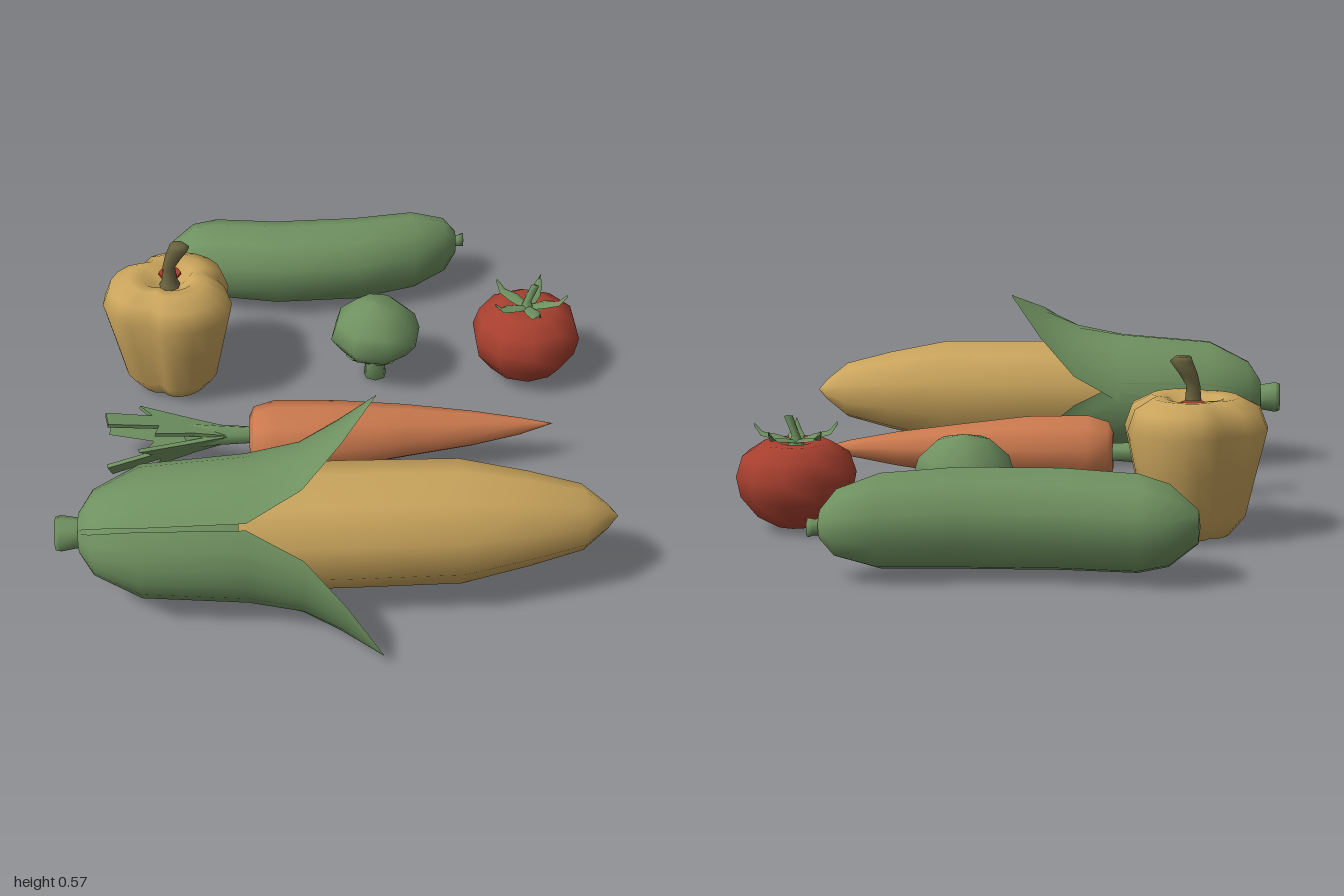
import * as THREE from 'three';

const mat = (name, color, side = THREE.FrontSide) => {
  const m = new THREE.MeshStandardMaterial({ color, side });
  m.name = name;
  return m;
};
const D = Math.PI / 180;

// Smooth surface through rows of points; closed rows wrap around
function loft(rows, closed = true) {
  const n = rows[0].length, pos = rows.flat(2), index = [];
  for (let i = 0; i < rows.length - 1; i++) {
    for (let j = 0; j < (closed ? n : n - 1); j++) {
      const k = (j + 1) % n, a = i * n, b = a + n;
      index.push(a + j, a + k, b + j, a + k, b + k, b + j);
    }
  }
  const g = new THREE.BufferGeometry();
  g.setAttribute('position', new THREE.Float32BufferAttribute(pos, 3));
  g.setIndex(index);
  g.computeVertexNormals();
  return g;
}
const around = (n, f) => Array.from({ length: n }, (_, j) => f((j / n) * Math.PI * 2));

// Round body along x, stations [x, y, z, radius]
const alongX = (stations, n = 10) => loft(stations.map(([x, y, z, r]) =>
  around(n, a => [x, y + r * Math.cos(a), z + r * Math.sin(a)])));

// Round body along y, stations [y, radius, xShift], with optional radius factor by angle
const alongY = (stations, n = 9, factor = () => 1, start = 0) => loft(stations.map(([y, r, dx = 0]) =>
  around(n, t => {
    const a = t + start, q = r * factor(a);
    return [dx + q * Math.sin(a), y, q * Math.cos(a)];
  })));

export function createModel() {
  const model = new THREE.Group();
  const green = mat('leaf green', 0x6f9160);
  const leafGreen = green.clone();
  leafGreen.side = THREE.DoubleSide;
  const yellow = mat('corn yellow', 0xc9a45c);
  const orange = mat('carrot orange', 0xcc7a4e);
  const red = mat('tomato red', 0xa8402f);
  const olive = mat('stem olive', 0x6b643f);

  const group = (name, x = 0, y = 0, z = 0) => {
    const g = new THREE.Group();
    g.name = name;
    g.position.set(x, y, z);
    model.add(g);
    return g;
  };
  const add = (parent, name, geometry, material) => {
    const m = new THREE.Mesh(geometry, material);
    m.name = name;
    parent.add(m);
    return m;
  };

  // Zucchini: curved body and stub
  const zucchini = group('zucchini');
  add(zucchini, 'zucchiniBody', alongX([
    [-0.53, 0.15, -0.87, 0], [-0.525, 0.15, -0.87, 0.045], [-0.45, 0.15, -0.86, 0.11],
    [-0.37, 0.15, -0.845, 0.132], [-0.17, 0.15, -0.812, 0.137], [0.1, 0.15, -0.822, 0.137],
    [0.3, 0.15, -0.87, 0.128], [0.41, 0.15, -0.9, 0.09], [0.45, 0.15, -0.915, 0.04], [0.452, 0.15, -0.915, 0],
  ]), green);
  add(zucchini, 'zucchiniStub', alongX([
    [0.43, 0.145, -0.925, 0.022], [0.465, 0.145, -0.93, 0.022], [0.48, 0.145, -0.935, 0.026], [0.48, 0.145, -0.935, 0],
  ], 6), green);

  // Pepper: three lobes with a sunken top
  const pepper = group('pepper', -0.51, 0, -0.35);
  const lobes = a => 0.78 + 0.22 * Math.sqrt(Math.abs(Math.sin(1.5 * (a - 96 * D))));
  add(pepper, 'pepperBody', alongY([
    [0.04, 0], [0.01, 0.07], [0.005, 0.11], [0.06, 0.155], [0.2, 0.187], [0.31, 0.213],
    [0.37, 0.19], [0.4, 0.13], [0.395, 0.085], [0.365, 0.05], [0.36, 0],
  ], 24, lobes, 96 * D), yellow);
  add(pepper, 'pepperStem', alongY([
    [0.35, 0.04], [0.385, 0.024], [0.43, 0.02], [0.465, 0.027, 0.015], [0.5, 0.033, 0.035], [0.512, 0.024, 0.03], [0.512, 0, 0.03],
  ], 7), olive);
  const patch = add(pepper, 'pepperBlush', new THREE.CylinderGeometry(0.035, 0.035, 0.008, 8), red);
  patch.position.set(0, 0.385, -0.035);

  // Broccoli: domed head, stalk and branches
  const broccoli = group('broccoli', 0.14, 0, -0.35);
  add(broccoli, 'broccoliHead', alongY([
    [0.135, 0], [0.11, 0.07], [0.115, 0.115], [0.16, 0.147], [0.215, 0.13], [0.265, 0.075], [0.28, 0],
  ], 8, () => 1, 0.2), green);
  add(broccoli, 'broccoliStalk', alongY([[0, 0], [0, 0.037], [0.05, 0.031], [0.09, 0.04], [0.13, 0.06]], 7), green);
  for (let i = 0; i < 5; i++) {
    const pivot = new THREE.Group();
    pivot.rotation.y = i * 72 * D;
    broccoli.add(pivot);
    const branch = add(pivot, 'broccoliBranch', new THREE.CylinderGeometry(0.035, 0.018, 0.09, 6), green);
    branch.position.set(0.055, 0.1, 0);
    branch.rotation.z = -0.8;
  }

  // Tomato: squat body, five curled sepals and a short stem
  const tomato = group('tomato', 0.625, 0, -0.35);
  add(tomato, 'tomatoBody', alongY([
    [0.015, 0], [0.01, 0.07], [0.035, 0.115], [0.095, 0.162], [0.155, 0.174], [0.215, 0.155],
    [0.25, 0.1], [0.25, 0.05], [0.235, 0],
  ], 10), red);
  const sepal = loft([[0.005, 0.252, 0.016], [0.055, 0.266, 0.024], [0.1, 0.272, 0.015], [0.125, 0.297, 0.002]]
    .map(([x, y, w]) => [[x, y - 0.006, -w], [x, y + 0.004, 0], [x, y - 0.006, w]]), false);
  for (let i = 0; i < 5; i++) {
    add(tomato, 'tomatoSepal', sepal, leafGreen).rotation.y = (-8 + i * 72) * D;
  }
  add(tomato, 'tomatoStem', alongY([[0.24, 0.025], [0.27, 0.012], [0.325, 0.013, 0.02], [0.328, 0, 0.02]], 6), green);

  // Carrot: tapered root, stalk and three forked fronds
  const carrot = group('carrot');
  add(carrot, 'carrotRoot', alongX([
    [-0.255, 0.135, 0.14, 0], [-0.27, 0.135, 0.145, 0.06], [-0.255, 0.135, 0.148, 0.092], [-0.19, 0.135, 0.15, 0.111],
    [0, 0.135, 0.15, 0.105], [0.2, 0.135, 0.138, 0.081], [0.4, 0.135, 0.135, 0.054],
    [0.55, 0.135, 0.13, 0.026], [0.65, 0.135, 0.12, 0],
  ], 9), orange);
  add(carrot, 'carrotStalk', alongX([
    [-0.47, 0.135, 0.13, 0], [-0.45, 0.135, 0.13, 0.042], [-0.36, 0.135, 0.132, 0.033], [-0.25, 0.135, 0.137, 0.026],
  ], 6), green);
  const frond = new THREE.Shape([
    [0, -0.015], [0, 0.015], [-0.17, 0.035], [-0.29, 0.065], [-0.28, 0.025], [-0.43, 0.055],
    [-0.44, 0.0], [-0.3, -0.02], [-0.34, -0.06], [-0.17, -0.035],
  ].map(p => new THREE.Vector2(...p)));
  const frondGeometry = new THREE.ExtrudeGeometry(frond, { depth: 0.012, bevelEnabled: false });
  frondGeometry.rotateX(Math.PI / 2);
  frondGeometry.rotateZ(-0.22);
  for (let i = 0; i < 3; i++) {
    const m = add(carrot, 'carrotFrond', frondGeometry, green);
    m.position.set(-0.265, 0.135, 0.135);
    m.rotation.x = i * 120 * D;
  }

  // Corn: cob, stub and closed husk base
  const cy = 0.22, cz = 0.67;
  const corn = group('corn');
  add(corn, 'cornCob', alongX([
    [-0.6, 0.15], [-0.3, 0.175], [0, 0.176], [0.31, 0.173], [0.5, 0.132], [0.65, 0.092], [0.72, 0.035], [0.75, 0],
  ].map(([x, r]) => [x, cy + (x > 0.4 ? 0.005 : 0.003), cz, r]), 10), yellow);
  add(corn, 'cornStub', alongX([
    [-0.805, cy, cz, 0], [-0.805, cy, cz, 0.046], [-0.79, cy, cz, 0.05], [-0.73, cy, cz, 0.04],
  ], 8), green);
  add(corn, 'huskBase', alongX([
    [-0.74, cy, cz, 0], [-0.74, cy, cz, 0.055], [-0.7, cy, cz, 0.115], [-0.57, cy, cz, 0.178], [-0.3, cy, cz, 0.18],
  ], 12), green);

  // Three husk leaves [centre angle, tip radius], rows [x, radius, half width in degrees]
  for (const [centre, tip] of [[110, 0.37], [-29, 0.376], [226, 0.25]]) {
    const flare = (tip - 0.2) / 0.175;
    const rows = [
      [-0.74, 0.056, 64], [-0.7, 0.118, 66], [-0.57, 0.184, 68], [-0.28, 0.205, 67],
      [-0.13, 0.205 + 0.03 * flare, 46], [-0.02, 0.205 + 0.09 * flare, 22], [0.08, tip, 0.5],
    ].map(([x, r, half]) => Array.from({ length: 9 }, (_, j) => {
      const u = 1 - j / 4;
      const a = (centre + u * half) * D;
      return [x, Math.max(0.012, cy + r * Math.sin(a)), cz + r * Math.cos(a)];
    }));
    add(corn, 'huskLeaf', loft(rows, false), leafGreen);
  }
  return model;
}
